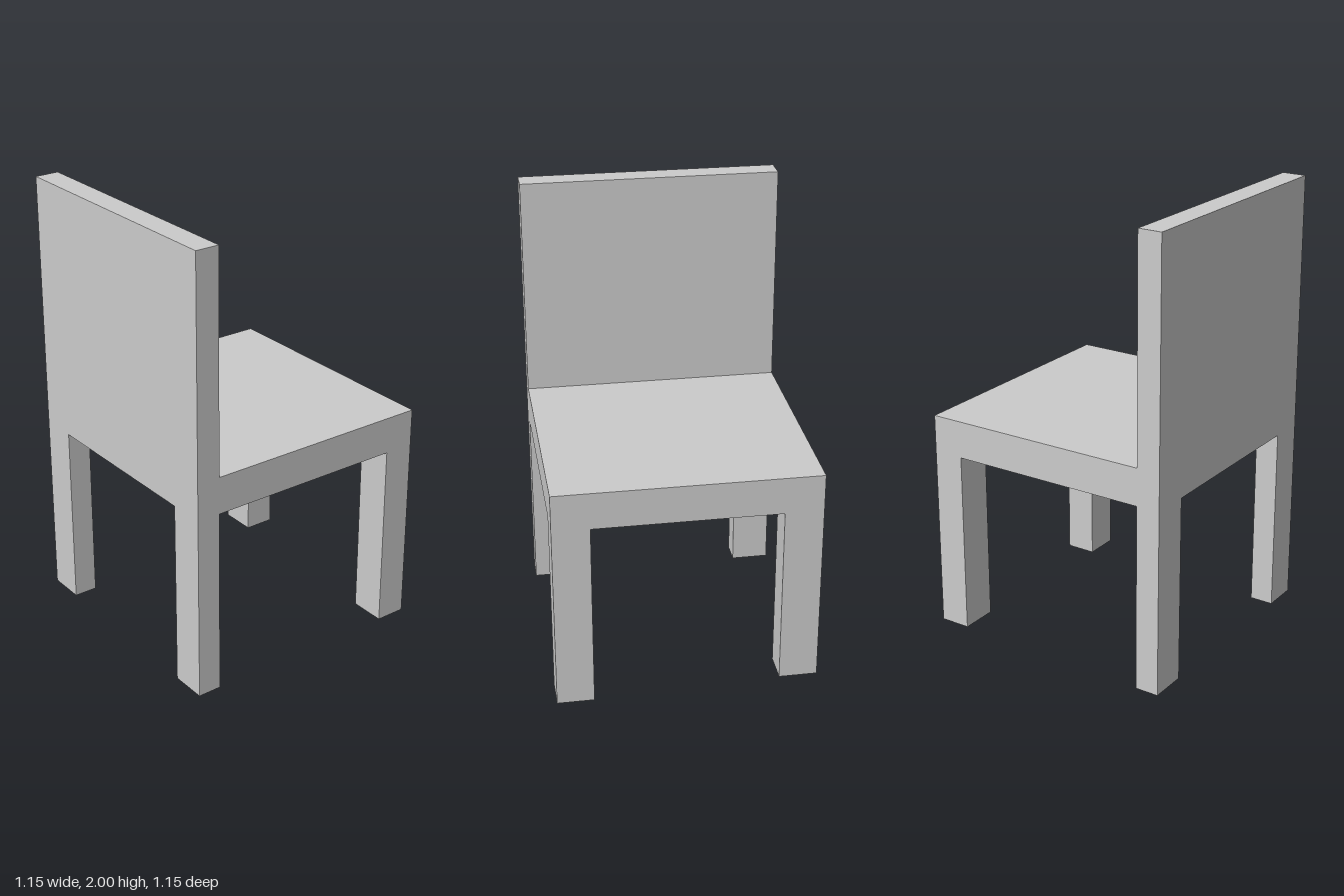
import * as THREE from 'three';

const HALF = 0.575;         // half width and half depth
const SEAT_BOTTOM = 0.853;
const SEAT_TOP = 1.02;
const BACK_Z = 0.468;       // inner face of the backrest and of the legs below it

export function createModel() {
  const chair = new THREE.Group();
  chair.name = 'chair';
  const material = new THREE.MeshStandardMaterial({ color: 0xcccccc, flatShading: true });

  // Box given by its extents along each axis
  function addBlock(name, [x0, x1], [y0, y1], [z0, z1]) {
    const mesh = new THREE.Mesh(new THREE.BoxGeometry(x1 - x0, y1 - y0, z1 - z0), material);
    mesh.position.set((x0 + x1) / 2, (y0 + y1) / 2, (z0 + z1) / 2);
    mesh.name = name;
    chair.add(mesh);
  }

  // Seat slab, and the tall backrest rising from its underside
  addBlock('seat', [-HALF, HALF], [SEAT_BOTTOM, SEAT_TOP], [-HALF, BACK_Z]);
  addBlock('backrest', [-HALF, HALF], [SEAT_BOTTOM, 2], [BACK_Z, HALF]);

  // Four legs of slightly uneven length: seat-edge pair thicker, backrest pair thin
  const seatEdge = [-HALF, -0.437];
  const underBack = [BACK_Z, HALF];
  const plusX = [0.412, HALF];
  const minusX = [-HALF, -0.406];
  addBlock('seatEdgeLegLeft', plusX, [0, SEAT_BOTTOM], seatEdge);
  addBlock('seatEdgeLegRight', minusX, [0.03, SEAT_BOTTOM], seatEdge);
  addBlock('backrestLegLeft', plusX, [0.01, SEAT_BOTTOM], underBack);
  addBlock('backrestLegRight', minusX, [0.015, SEAT_BOTTOM], underBack);

  return chair;
}
